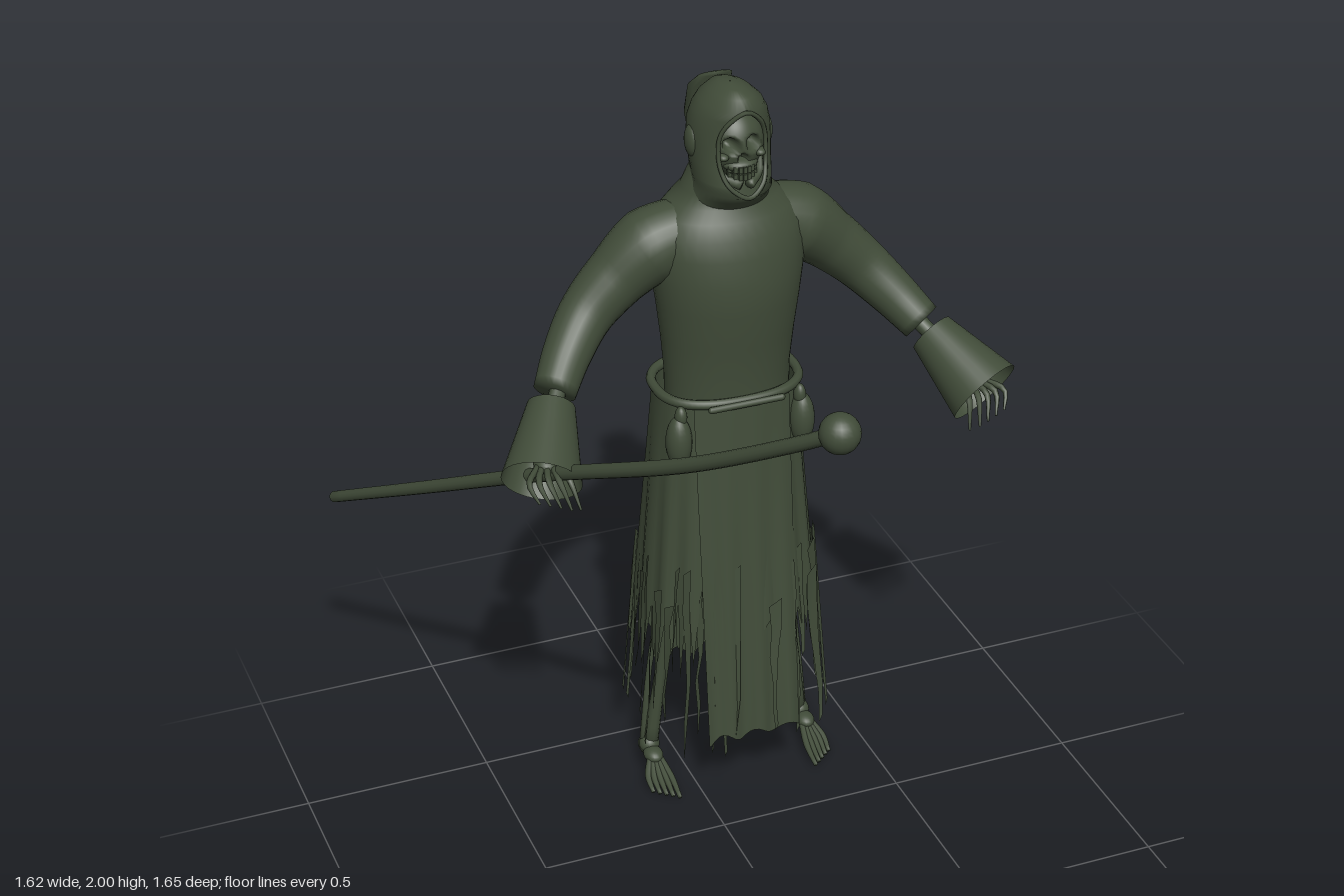
import * as THREE from 'three';
import { mergeGeometries } from 'three/addons/utils/BufferGeometryUtils.js';

const V = (x, y, z) => new THREE.Vector3(x, y, z);
const CX = 0.13, CZ = -0.325; // body axis
const side = (s, x, y, z) => V(CX + s * (x - CX), y, z); // mirrored about the body axis

let seed = 7;
const rand = (a = 0, b = 1) => {
  seed = (seed * 16807) % 2147483647;
  return a + (b - a) * (seed / 2147483647);
};

// Surface through rows of points; every row has the same count
function loft(rows, closed = true) {
  const n = rows[0].length, pos = [], idx = [];
  rows.forEach(r => r.forEach(p => pos.push(p.x, p.y, p.z)));
  for (let i = 0; i < rows.length - 1; i++) {
    for (let j = 0; j < (closed ? n : n - 1); j++) {
      const a = i * n + j, b = i * n + (j + 1) % n;
      idx.push(a, b, a + n, b, b + n, a + n);
    }
  }
  const g = new THREE.BufferGeometry();
  g.setAttribute('position', new THREE.Float32BufferAttribute(pos, 3));
  g.setIndex(idx);
  g.computeVertexNormals();
  return g;
}

// Horizontal oval, with an optional opening at the front
function oval(y, cz, rx, rz, gap = 0, n = 40, closed = true) {
  return Array.from({ length: n }, (_, j) => {
    const a = gap + (j / (closed ? n : n - 1)) * (Math.PI * 2 - 2 * gap);
    return V(CX + rx * Math.sin(a), y, cz + rz * Math.cos(a));
  });
}

// Round limb of changing radius along a smooth path, closed at both ends
function limb(points, radii, n = 16, steps = 20) {
  const curve = new THREE.CatmullRomCurve3(points);
  const f = curve.computeFrenetFrames(steps);
  const rows = [];
  for (let i = 0; i <= steps; i++) {
    const t = i / steps, c = curve.getPointAt(t), k = t * (radii.length - 1);
    const k0 = Math.min(Math.floor(k), radii.length - 2);
    const r = THREE.MathUtils.lerp(radii[k0], radii[k0 + 1], k - k0);
    const ring = q => Array.from({ length: n }, (_, j) => {
      const a = (j / n) * Math.PI * 2;
      return c.clone().addScaledVector(f.normals[i], q * Math.cos(a)).addScaledVector(f.binormals[i], q * Math.sin(a));
    });
    if (i === 0) rows.push(ring(0.0001));
    rows.push(ring(r));
    if (i === steps) rows.push(ring(0.0001));
  }
  return loft(rows);
}

const ball = (p, rx, ry = rx, rz = rx) =>
  new THREE.SphereGeometry(1, 20, 14).scale(rx, ry, rz).translate(p.x, p.y, p.z);

// Point on the flaring skirt
function skirtPoint(a, y, off = 0) {
  const drop = 1.17 - y, rx = 0.185 + drop * 0.075 + off, rz = 0.138 + drop * 0.08 + off;
  const sq = v => Math.sign(v) * Math.pow(Math.abs(v), 0.8);
  return V(CX + rx * sq(Math.sin(a)), y, CZ + rz * sq(Math.cos(a)));
}

export function createModel() {
  const model = new THREE.Group();
  const cloth = new THREE.MeshStandardMaterial({ color: 0x414c39, side: THREE.DoubleSide });
  cloth.name = 'dark moss green';
  const add = (name, ...geos) => {
    geos.forEach(g => g.deleteAttribute('uv')); // lofts carry no uv, so all parts can merge
    const m = new THREE.Mesh(mergeGeometries(geos), cloth);
    m.name = name;
    model.add(m);
  };

  // Torso: height, centre z, half width, half depth
  add('torso', loft([
    [1.14, -0.31, 0.165, 0.12], [1.22, -0.31, 0.166, 0.122], [1.32, -0.307, 0.175, 0.132],
    [1.42, -0.305, 0.187, 0.145], [1.5, -0.308, 0.198, 0.15], [1.57, -0.315, 0.205, 0.146],
    [1.62, -0.32, 0.2, 0.138], [1.66, -0.325, 0.175, 0.124], [1.69, -0.33, 0.14, 0.112],
    [1.72, -0.325, 0.112, 0.1], [1.78, -0.315, 0.09, 0.08],
  ].map(r => oval(...r))));

  // Hood: height, half width, back z, front z, half angle of the face opening
  const hood = [
    [1.69, 0.115, -0.44, -0.22, 0], [1.72, 0.1, -0.425, -0.19, 0], [1.745, 0.097, -0.41, -0.16, 0],
    [1.77, 0.097, -0.405, -0.165, 0.45], [1.81, 0.1, -0.41, -0.18, 0.62], [1.86, 0.102, -0.415, -0.188, 0.65],
    [1.9, 0.1, -0.415, -0.188, 0.6], [1.935, 0.09, -0.405, -0.185, 0.42], [1.96, 0.076, -0.392, -0.183, 0],
    [1.985, 0.05, -0.365, -0.2, 0], [1.997, 0.025, -0.335, -0.235, 0], [2.0, 0.001, -0.29, -0.288, 0],
  ].map(([y, w, b, f, gap]) => oval(y, (b + f) / 2, w, (f - b) / 2, gap, 41, false));
  add('hood', loft(hood, false));
  const rim = [...hood.slice(2, 9).map(r => r[0]), ...hood.slice(3, 8).reverse().map(r => r[40])];
  add('hoodRim', new THREE.TubeGeometry(new THREE.CatmullRomCurve3(rim, true), 60, 0.006, 6, true));
  for (const s of [1, -1]) add('earBump', ball(side(s, 0.225, 1.855, -0.3), 0.018, 0.042, 0.03));

  // Hanging tip of the hood
  add('hoodTail', loft([
    [1.985, -0.385, 0.001, 0.001], [1.98, -0.388, 0.045, 0.014], [1.94, -0.425, 0.058, 0.03],
    [1.86, -0.452, 0.057, 0.04], [1.78, -0.462, 0.04, 0.028], [1.68, -0.452, 0.012, 0.01], [1.68, -0.452, 0.001, 0.001],
  ].map(([y, z, w, d]) => oval(y, z, w, d, 0, 12))));

  // Skull with pushed-in eye sockets and nose hole
  const skull = new THREE.SphereGeometry(1, 64, 48).scale(0.078, 0.092, 0.085);
  const p = skull.attributes.position;
  for (let i = 0; i < p.count; i++) {
    const x = p.getX(i), y = p.getY(i);
    if (p.getZ(i) < 0) continue;
    const socket = Math.hypot((Math.abs(x) - 0.028) / 0.02, (y - 0.012) / 0.02);
    const nose = Math.hypot(x / 0.011, (y + 0.024) / 0.016);
    if (socket < 1) p.setZ(i, p.getZ(i) - 0.04 * (1 - socket ** 3));
    if (nose < 1) p.setZ(i, p.getZ(i) - 0.025 * (1 - nose ** 3));
  }
  skull.computeVertexNormals();
  add('skull', skull.translate(CX, 1.855, -0.28));
  for (const s of [1, -1]) {
    add('cheekbone', ball(side(s, 0.178, 1.838, -0.22), 0.016, 0.011, 0.022));
    add('jawSide', limb([side(s, 0.185, 1.82, -0.24), side(s, 0.178, 1.785, -0.22), side(s, 0.14, 1.768, -0.187)], [0.01, 0.011, 0.013], 8, 8));
  }
  const teeth = [];
  for (let i = -3; i <= 3; i++) for (const y of [1.807, 1.788])
    teeth.push(new THREE.BoxGeometry(0.0095, 0.016, 0.012).translate(CX + i * 0.011, y, -0.192 - 0.0022 * i * i));
  add('teeth', ...teeth);
  add('upperJaw', ball(V(CX, 1.812, -0.225), 0.045, 0.018, 0.035));

  for (const s of [1, -1]) {
    // Sleeves, wrists and wide open cuffs
    add('arm', limb([
      side(s, 0.22, 1.61, -0.32), side(s, 0.325, 1.575, -0.33), side(s, 0.42, 1.5, -0.333),
      side(s, 0.5, 1.425, -0.32), side(s, 0.57, 1.35, -0.27), side(s, 0.625, 1.285, -0.21),
    ], [0.085, 0.098, 0.08, 0.07, 0.062, 0.054], 24, 30));
    add('wrist', limb([side(s, 0.6, 1.31, -0.23), side(s, 0.65, 1.25, -0.16), side(s, 0.7, 1.18, -0.08)], [0.022, 0.02, 0.026], 10, 8));
    const a = side(s, 0.643, 1.262, -0.185), b = side(s, 0.724, 1.152, -0.03), axis = b.clone().sub(a);
    const cuff = new THREE.CylinderGeometry(0.1, 0.06, axis.length(), 32, 4, true);
    cuff.applyQuaternion(new THREE.Quaternion().setFromUnitVectors(V(0, 1, 0), axis.clone().normalize()));
    const mid = a.clone().lerp(b, 0.5);
    add('cuff', cuff.translate(mid.x, mid.y, mid.z));

    // Bony hand
    const fingers = [ball(side(s, 0.7, 1.175, -0.07), 0.03, 0.022, 0.035)];
    for (let i = 0; i < 5; i++) {
      const x = 0.655 + i * 0.025;
      fingers.push(limb([side(s, 0.7 + (i - 2) * 0.012, 1.175, -0.06), side(s, x + 0.01, 1.165, 0), side(s, x - 0.005, 1.095 + 0.008 * i, 0.05 - 0.006 * Math.abs(i - 1))],
        [0.009, 0.008, 0.003], 7, 8));
    }
    add('hand', ...fingers);

    // Leg bones
    add('leg',
      limb([side(s, 0.22, 1.1, -0.32), side(s, 0.26, 0.8, -0.31), side(s, 0.29, 0.57, -0.3)], [0.04, 0.025, 0.03], 10, 10),
      ball(side(s, 0.29, 0.57, -0.3), 0.032),
      limb([side(s, 0.295, 0.56, -0.3), side(s, 0.32, 0.32, -0.31), side(s, 0.345, 0.09, -0.325)], [0.024, 0.015, 0.021], 10, 10),
      limb([side(s, 0.31, 0.54, -0.325), side(s, 0.343, 0.32, -0.335), side(s, 0.362, 0.09, -0.335)], [0.01, 0.008, 0.012], 8, 10));
    const foot = [ball(side(s, 0.35, 0.075, -0.325), 0.028), ball(side(s, 0.345, 0.045, -0.36), 0.022, 0.024, 0.034),
      ball(side(s, 0.352, 0.063, -0.29), 0.026, 0.02, 0.034)];
    for (let i = 0; i < 5; i++) {
      const x = 0.328 + i * 0.0145, len = 0.012 * i;
      foot.push(limb([side(s, 0.34 + i * 0.006, 0.062, -0.28), side(s, x, 0.03, -0.215 - len / 2), side(s, x, 0.007, -0.15 - len)], [0.009, 0.009, 0.006], 7, 8));
    }
    add('foot', ...foot);

    // Pouches at the belt
    add('pouch', ball(side(s, 0.298, 1.07, -0.215), 0.034, 0.073, 0.036), ball(side(s, 0.292, 1.14, -0.215), 0.016, 0.03, 0.018));
  }
  add('button', ball(skirtPoint(2.2, 1.06), 0.016));

  // Belt
  const belt = Array.from({ length: 40 }, (_, i) => skirtPoint((i / 40) * Math.PI * 2, 1.172, 0.003));
  add('belt', new THREE.TubeGeometry(new THREE.CatmullRomCurve3(belt, true), 80, 0.013, 8, true));
  add('buckleBar', new THREE.CapsuleGeometry(0.009, 0.19, 4, 8).rotateZ(Math.PI / 2).translate(CX, 1.168, -0.172));

  // Skirt with a torn hem: every other column hangs low
  const cols = 72, hem = [], rows = [];
  for (let j = 0; j < cols; j++) hem.push(j % 2 ? rand(0.33, 0.52) : rand(0.48, 0.66));
  for (let i = 0; i <= 10; i++) rows.push(hem.map((h, j) => {
    const t = i / 10, y = 1.17 + (h - 1.17) * t;
    return skirtPoint((j / cols) * Math.PI * 2, y, 0.008 * t * Math.sin(j * 1.3));
  }));
  add('skirt', loft(rows));

  // Loose tatters hanging from the hem
  const tatters = [];
  for (let k = 0; k < 44; k++) {
    const a0 = (k / 44) * Math.PI * 2 + rand(-0.05, 0.05), top = rand(0.55, 0.72), sideways = Math.abs(Math.sin(a0));
    const end = rand(0.09, 0.3) + 0.14 * sideways * rand(), w = rand(0.05, 0.11), off = rand(-0.015, 0.02);
    const strip = [];
    for (let i = 0; i <= 5; i++) {
      const t = i / 5, y = top + (end - top) * t, half = w * (1 - t * 0.85) * rand(0.6, 1.1), drift = rand(-0.03, 0.03);
      strip.push([skirtPoint(a0 + drift - half, y, off), skirtPoint(a0 + drift + half, y + 0.02, off + 0.006)]);
    }
    tatters.push(loft(strip, false));
  }
  add('tatters', ...tatters);

  // Long cloth panels, front and back
  for (const [name, f] of [['frontPanel', 1], ['backPanel', -1]]) {
    const grid = [];
    for (let i = 0; i <= 16; i++) {
      const t = i / 16, row = [];
      for (let j = 0; j <= 24; j++) {
        const u = (j / 24) * 2 - 1;
        const y = 1.17 + (0.195 - 1.17) * t + t * t * t * 0.012 * Math.sin(u * 9 + f);
        const depth = 0.15 + 0.066 * t - 0.034 * (1 - t) * u * u + 0.008 * t * Math.sin(u * 10);
        row.push(V(CX + u * 0.13, y, CZ + f * depth));
      }
      grid.push(row);
    }
    add(name, loft(grid, false));
  }

  // Crooked staff with a round head
  add('staff', limb([V(-0.79, 0.735, -0.82), V(-0.63, 0.92, -0.48), V(-0.49, 1.08, -0.19), V(-0.415, 1.17, -0.02),
    V(-0.24, 1.375, 0.38), V(-0.105, 1.55, 0.66), V(-0.037, 1.63, 0.776)], [0.015, 0.018, 0.019, 0.018], 12, 40));
  add('staffHead', ball(V(-0.037, 1.63, 0.776), 0.048));
  return model;
}
